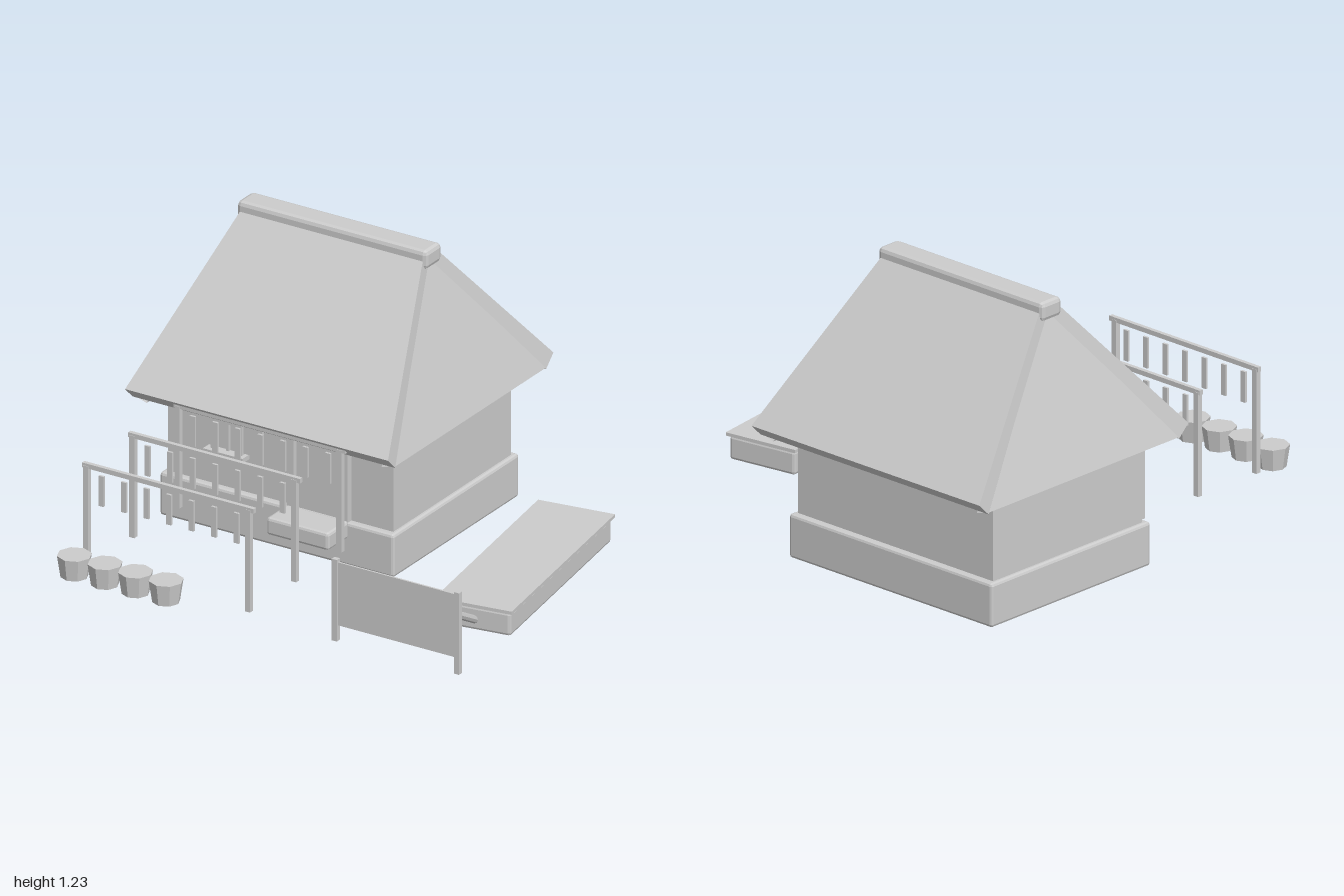
import * as THREE from 'three';
import { RoundedBoxGeometry } from 'three/addons/geometries/RoundedBoxGeometry.js';

const grey = new THREE.MeshStandardMaterial({ color: 0xcccccc });
grey.name = 'plainGrey';
grey.flatShading = true;

function add(parent, name, geometry, x = 0, y = 0, z = 0) {
  const mesh = new THREE.Mesh(geometry, grey);
  mesh.name = name;
  mesh.position.set(x, y, z);
  parent.add(mesh);
  return mesh;
}

// Box given by its limits on each axis; a bevel above 0 cuts the edges
function box(parent, name, [x0, x1], [y0, y1], [z0, z1], bevel = 0) {
  const size = [x1 - x0, y1 - y0, z1 - z0];
  const geometry = bevel ? new RoundedBoxGeometry(...size, 1, bevel) : new THREE.BoxGeometry(...size);
  return add(parent, name, geometry, (x0 + x1) / 2, (y0 + y1) / 2, (z0 + z1) / 2);
}

// Thick panel: an outer outline (counter-clockwise from outside) pushed inward
function slab(outline, push) {
  const inner = outline.map((p) => p.map((v, i) => v + push[i]));
  const pos = [];
  const quad = (a, b, c, d) => pos.push(...a, ...b, ...c, ...a, ...c, ...d);
  quad(...outline);
  quad(...[...inner].reverse());
  outline.forEach((p, i) => {
    const j = (i + 1) % outline.length;
    quad(outline[j], p, inner[i], inner[j]);
  });
  const geometry = new THREE.BufferGeometry();
  geometry.setAttribute('position', new THREE.Float32BufferAttribute(pos, 3));
  geometry.computeVertexNormals();
  return geometry;
}

function group(parent, name) {
  const g = new THREE.Group();
  g.name = name;
  parent.add(g);
  return g;
}

function buildHouse(root) {
  const house = group(root, 'house');
  box(house, 'foundation', [-0.93, 0.16], [0.005, 0.19], [-0.855, 0.055], 0.012);
  box(house, 'walls', [-0.91, 0.14], [0.18, 0.56], [-0.825, 0.025]);
  box(house, 'doorStep', [-0.34, -0.05], [0.125, 0.2], [0.05, 0.2], 0.012);

  // Doorway
  box(house, 'doorPanel', [-0.31, -0.08], [0.19, 0.52], [0.02, 0.035]);
  for (const x of [-0.322, -0.072]) box(house, 'doorPost', [x - 0.017, x + 0.017], [0.19, 0.55], [0.02, 0.055]);
  box(house, 'doorLintel', [-0.335, -0.055], [0.52, 0.55], [0.02, 0.055]);

  // Window with bars, sill and sliding shutters
  box(house, 'windowPane', [-0.69, -0.55], [0.355, 0.49], [0.02, 0.032]);
  for (const x of [-0.68, -0.56]) box(house, 'windowJamb', [x - 0.012, x + 0.012], [0.355, 0.495], [0.02, 0.055]);
  box(house, 'windowHead', [-0.692, -0.548], [0.475, 0.495], [0.02, 0.055]);
  box(house, 'windowBar', [-0.626, -0.614], [0.355, 0.48], [0.02, 0.045]);
  box(house, 'windowSill', [-0.715, -0.53], [0.335, 0.355], [0.02, 0.075]);
  for (const x of [-0.737, -0.505]) box(house, 'shutter', [x - 0.043, x + 0.043], [0.36, 0.48], [0.02, 0.04]);
}

function buildRoof(root) {
  const roof = group(root, 'roof');
  const mid = { x: -0.3875, z: -0.4025 };

  // Front and back slopes, seen from the roof centre, mirrored by a half turn
  const slope = slab(
    [[-0.6125, 0.585, 0.5975], [0.6125, 0.585, 0.5975], [0.425, 1.19, 0.055], [-0.425, 1.19, 0.055]],
    [0, -0.052, -0.053]);
  // Steep end slopes fitted between them
  const end = slab(
    [[0.6125, 0.54, 0.5425], [0.6125, 0.54, -0.5425], [0.42, 1.17, -0.015], [0.42, 1.17, 0.015]],
    [-0.065, -0.02, 0]);
  for (const turn of [0, Math.PI]) {
    add(roof, turn ? 'backSlope' : 'frontSlope', slope, mid.x, 0, mid.z).rotation.y = turn;
    add(roof, turn ? 'rightEndSlope' : 'leftEndSlope', end, mid.x, 0, mid.z).rotation.y = turn;
  }
  box(roof, 'ridgeCap', [-0.83, 0.055], [1.15, 1.23], [-0.46, -0.345], 0.018);
}

// Frame of two posts and a beam with hanging strips
function buildRack(root, z) {
  const rack = group(root, 'dryingRack');
  rack.position.z = z;
  for (const x of [-0.767, -0.013]) box(rack, 'rackPost', [x - 0.012, x + 0.012], [0.125, 0.565], [-0.011, 0.011]);
  box(rack, 'rackBeam', [-0.785, 0.015], [0.555, 0.575], [-0.009, 0.009]);
  for (let i = 0; i < 7; i++) {
    const x = -0.7 + i * 0.105;
    box(rack, 'hangingStrip', [x - 0.012, x + 0.012], [0.405, 0.535], [-0.005, 0.005]);
  }
}

function buildCart(root) {
  const cart = group(root, 'cart');
  cart.position.set(0.751, 0, 0.021);
  cart.rotation.y = 0.152;
  box(cart, 'cartBody', [-0.155, 0.155], [0.125, 0.226], [-0.485, 0.485], 0.012);
  box(cart, 'cartTop', [-0.165, 0.165], [0.226, 0.24], [-0.495, 0.495]);
  const handle = add(cart, 'cartHandle', new THREE.CylinderGeometry(0.016, 0.016, 0.22, 8), 0, 0.202, 0.54);
  handle.rotation.x = Math.PI / 2 - 0.5;
}

function buildScreen(root) {
  const screen = group(root, 'screen');
  for (const x of [0.418, 0.987]) box(screen, 'screenPost', [x - 0.012, x + 0.012], [0.125, 0.477], [0.86, 0.882]);
  box(screen, 'screenPanel', [0.42, 0.985], [0.193, 0.465], [0.867, 0.875]);
}

export function createModel() {
  const root = new THREE.Group();
  root.name = 'farmhouseYard';
  buildHouse(root);
  buildRoof(root);
  for (const z of [0.17, 0.497, 0.83]) buildRack(root, z);
  buildCart(root);
  buildScreen(root);

  // Row of tapered tubs
  const tub = new THREE.CylinderGeometry(0.07, 0.056, 0.092, 8);
  for (let i = 0; i < 4; i++) add(root, 'tub', tub, -0.765 + i * 0.1425, 0.17, 0.925);
  return root;
}
